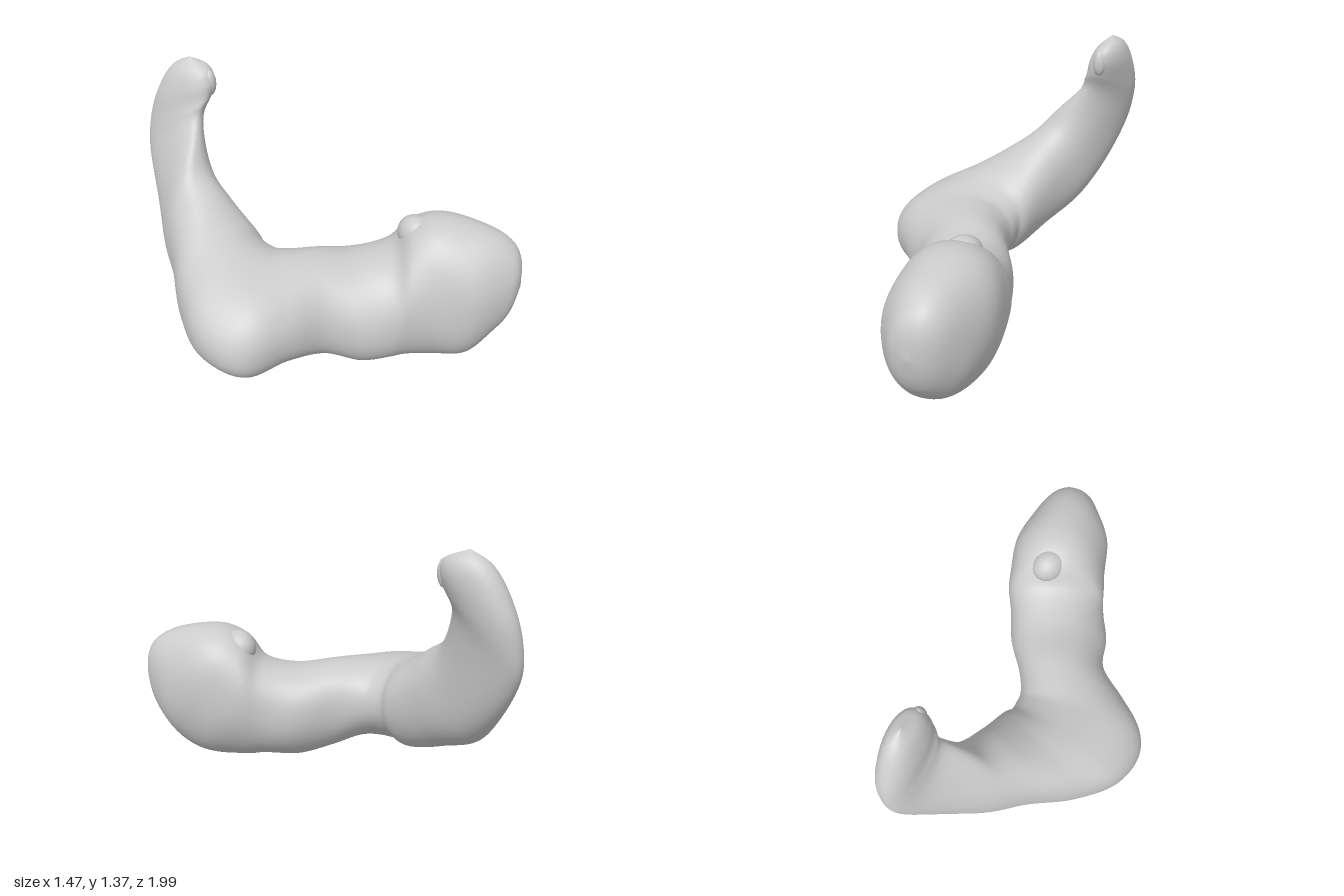
import * as THREE from 'three';
import { mergeVertices } from 'three/addons/utils/BufferGeometryUtils.js';

// Stations along the bent body: centre x, y, z, half width, half height, yaw.
const stations = [
  [0.65, 0.43, 0.965, 0, 0, 0.57],
  [0.635, 0.43, 0.945, 0.09, 0.14, 0.57],
  [0.605, 0.42, 0.89, 0.155, 0.24, 0.59],
  [0.52, 0.39, 0.79, 0.23, 0.34, 0.57],
  [0.42, 0.385, 0.63, 0.265, 0.38, 0.6],
  [0.31, 0.36, 0.51, 0.27, 0.35, 0.77],
  [0.23, 0.3, 0.45, 0.27, 0.28, 0.84],
  [0.09, 0.275, 0.345, 0.27, 0.268, 0.93],
  [-0.06, 0.31, 0.23, 0.24, 0.25, 0.94],
  [-0.22, 0.33, 0.165, 0.285, 0.235, 0.82],
  [-0.355, 0.325, 0.1, 0.353, 0.24, 0.58],
  [-0.41, 0.345, -0.05, 0.34, 0.255, 0.3],
  [-0.37, 0.38, -0.2, 0.29, 0.275, 0.07],
  [-0.32, 0.48, -0.385, 0.22, 0.27, 0],
  [-0.265, 0.61, -0.59, 0.165, 0.27, 0.05],
  [-0.17, 0.9, -0.78, 0.1, 0.237, 0.2],
  [-0.12, 1.075, -0.8, 0.095, 0.22, 0.27],
  [-0.09, 1.22, -0.77, 0.09, 0.17, 0.35],
  [-0.075, 1.315, -0.75, 0.06, 0.11, 0.4],
  [-0.07, 1.37, -0.75, 0, 0, 0.4],
];

// Lofts oval rings through the stations; they tip over as the body climbs.
function bodyGeometry(rings, sides) {
  const curve = (from) => new THREE.CatmullRomCurve3(
    stations.map((s) => new THREE.Vector3(...s.slice(from, from + 3))), false, 'catmullrom');
  const path = curve(0), sizes = curve(3);
  const pos = [], index = [];
  for (let i = 0; i <= rings; i++) {
    const centre = path.getPoint(i / rings);
    const { x: width, y: height, z: yaw } = sizes.getPoint(i / rings);
    const tilt = Math.max(0, (centre.y - 0.38) * 1.6);
    const across = new THREE.Vector3(Math.cos(yaw), 0.18, -Math.sin(yaw));
    const up = new THREE.Vector3(
      Math.sin(yaw) * Math.sin(tilt), Math.cos(tilt), Math.cos(yaw) * Math.sin(tilt));
    for (let j = 0; j < sides; j++) {
      const a = (j / sides) * Math.PI * 2, c = Math.cos(a), s = Math.sin(a);
      const offset = new THREE.Vector3()
        .addScaledVector(across, width * Math.sign(c) * Math.abs(c) ** 0.92)
        .addScaledVector(up, height * Math.sign(s) * Math.abs(s) ** 0.92);
      // Gentle organic unevenness
      const p = centre.clone().add(offset);
      const bump = Math.sin(13 * p.x + 5 * p.y) * Math.sin(12 * p.z + 9 * p.y);
      p.addScaledVector(offset, 0.018 * bump);
      pos.push(p.x, p.y, p.z);
      if (i < rings) {
        const n = (j + 1) % sides, q = i * sides;
        index.push(q + j, q + sides + j, q + n, q + n, q + sides + j, q + sides + n);
      }
    }
  }
  const loft = new THREE.BufferGeometry();
  loft.setAttribute('position', new THREE.Float32BufferAttribute(pos, 3));
  loft.setIndex(index);
  const geo = mergeVertices(loft, 1e-5);
  geo.computeVertexNormals();
  return geo;
}

export function createModel() {
  const group = new THREE.Group();
  const material = new THREE.MeshStandardMaterial({ color: 0xcccccc });
  const add = (name, geo) => {
    const mesh = new THREE.Mesh(geo, material);
    mesh.name = name;
    group.add(mesh);
    return mesh;
  };

  add('curvedBody', bodyGeometry(160, 64));

  // Rounded knob overhanging the bend on top of the thick end
  const knob = add('headKnob', new THREE.SphereGeometry(1, 32, 20));
  knob.scale.set(0.085, 0.095, 0.1);
  knob.position.set(0.365, 0.655, 0.49);

  // Small nub beside the upper tip
  const nub = add('tipNub', new THREE.SphereGeometry(1, 24, 16));
  nub.scale.set(0.034, 0.07, 0.035);
  nub.position.set(-0.035, 1.245, -0.637);

  return group;
}
